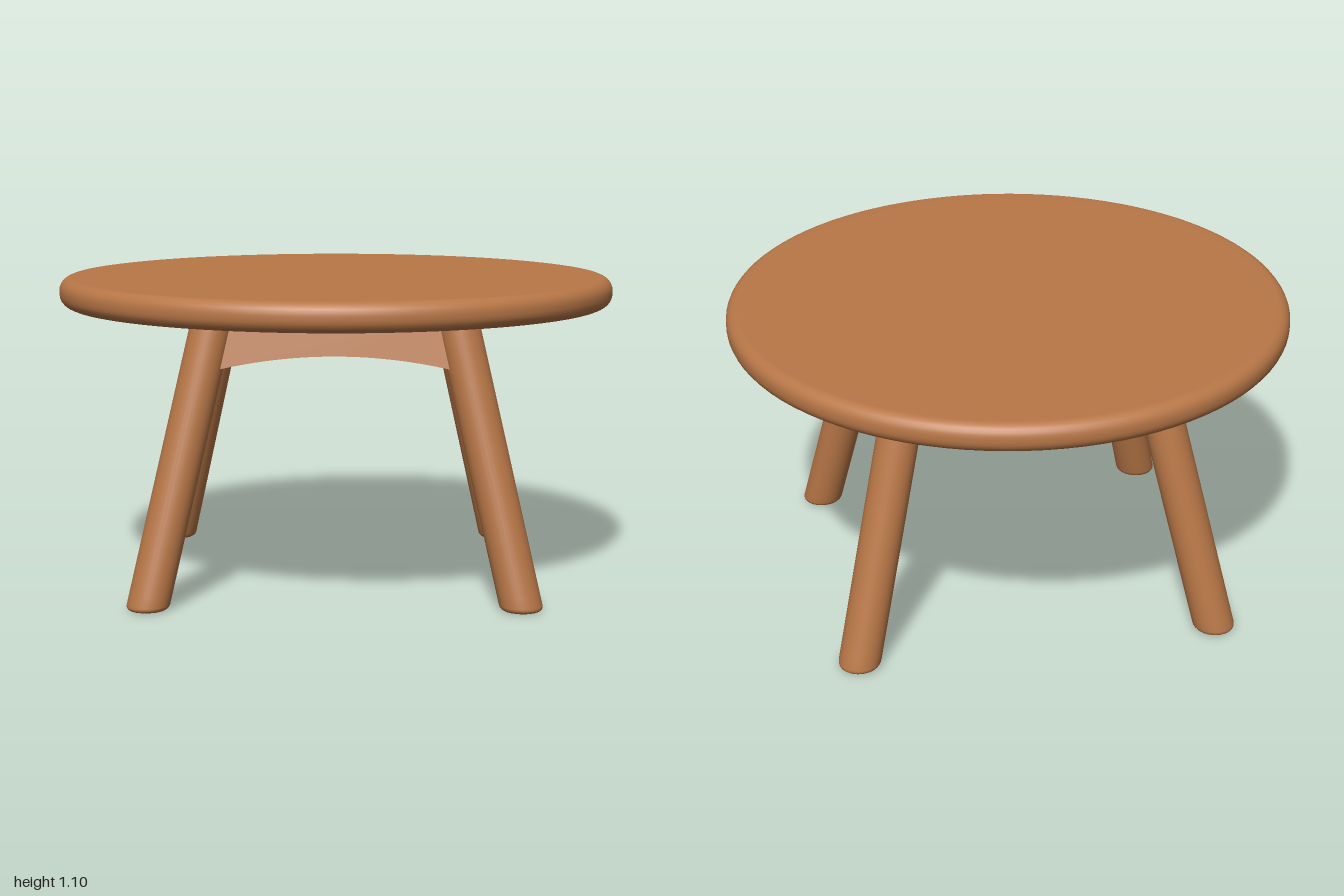
import * as THREE from 'three';

const TOP_UNDERSIDE = 1.0;
const FOOT = { x: 0.645, z: 0.592 };   // leg centre at the floor
const LEAN = { x: 0.225, z: 0.205 };   // inward lean per unit of height

// Turned solid from [radius, height] pairs, listed bottom to top
function turned(points, segments) {
  return new THREE.LatheGeometry(points.map(([r, y]) => new THREE.Vector2(r, y)), segments);
}

// Rounded corner arc for a turned profile
function arc(cx, cy, r, from, to, steps) {
  return Array.from({ length: steps + 1 }, (_, i) => {
    const a = from + (to - from) * i / steps;
    return [cx + r * Math.cos(a), cy + r * Math.sin(a)];
  });
}

// Slide a geometry sideways in proportion to its height
function lean(geometry, kx, kz) {
  return geometry.applyMatrix4(new THREE.Matrix4().set(
    1, kx, 0, 0,
    0, 1, 0, 0,
    0, kz, 1, 0,
    0, 0, 0, 1));
}

// Arched rail between two legs, tilted like them; local +z faces outward
function apronGeometry(footSpan, spanLean, footOut, outLean, endY, midY) {
  const thickness = 0.07;
  const half = (y) => footSpan - spanLean * y;
  const top = TOP_UNDERSIDE + 0.01;
  const shape = new THREE.Shape();
  shape.moveTo(-half(endY), endY);
  shape.quadraticCurveTo(0, 2 * midY - endY, half(endY), endY);
  shape.lineTo(half(top), top);
  shape.lineTo(-half(top), top);
  shape.closePath();
  const geometry = new THREE.ExtrudeGeometry(shape, {
    depth: thickness, bevelEnabled: false, curveSegments: 24,
  });
  geometry.translate(0, 0, footOut - thickness / 2);
  return lean(geometry, 0, -outLean);
}

export function createModel() {
  const model = new THREE.Group();
  model.name = 'roundTable';
  const wood = new THREE.MeshStandardMaterial({ color: 0xb87747 });
  wood.name = 'warmWood';

  const add = (name, geometry) => {
    const mesh = new THREE.Mesh(geometry, wood);
    mesh.name = name;
    model.add(mesh);
    return mesh;
  };

  // Round top with a soft edge
  const edge = 0.045;
  add('tableTop', turned([
    [0, 1.0], [0.9, 1.0],
    ...arc(1 - edge, 1.0 + edge, edge, -Math.PI / 2, 0, 6),
    ...arc(1 - edge, 1.103 - edge, edge, 0, Math.PI / 2, 6),
    [0.9, 1.103], [0, 1.103],
  ], 96));

  // Four splayed round legs with softened feet
  const legProfile = [
    [0, 0], [0.05, 0],
    ...arc(0.057, 0.018, 0.018, -Math.PI / 2, 0, 4),
    [0.075, 0.05], [0.075, TOP_UNDERSIDE + 0.01],
  ];
  for (const sx of [-1, 1]) {
    for (const sz of [-1, 1]) {
      const leg = lean(turned(legProfile, 32), -sx * LEAN.x, -sz * LEAN.z);
      const name = (sz > 0 ? 'front' : 'back') + (sx > 0 ? 'Left' : 'Right') + 'Leg';
      add(name, leg).position.set(sx * FOOT.x, 0, sz * FOOT.z);
    }
  }

  // Ring of arched aprons joining the legs
  const long = apronGeometry(FOOT.x, LEAN.x, FOOT.z, LEAN.z, 0.8, 0.86);
  const side = apronGeometry(FOOT.z, LEAN.z, FOOT.x, LEAN.x, 0.8, 0.825);
  add('frontApron', long);
  add('backApron', long).rotation.y = Math.PI;
  add('leftApron', side).rotation.y = Math.PI / 2;
  add('rightApron', side).rotation.y = -Math.PI / 2;

  return model;
}
